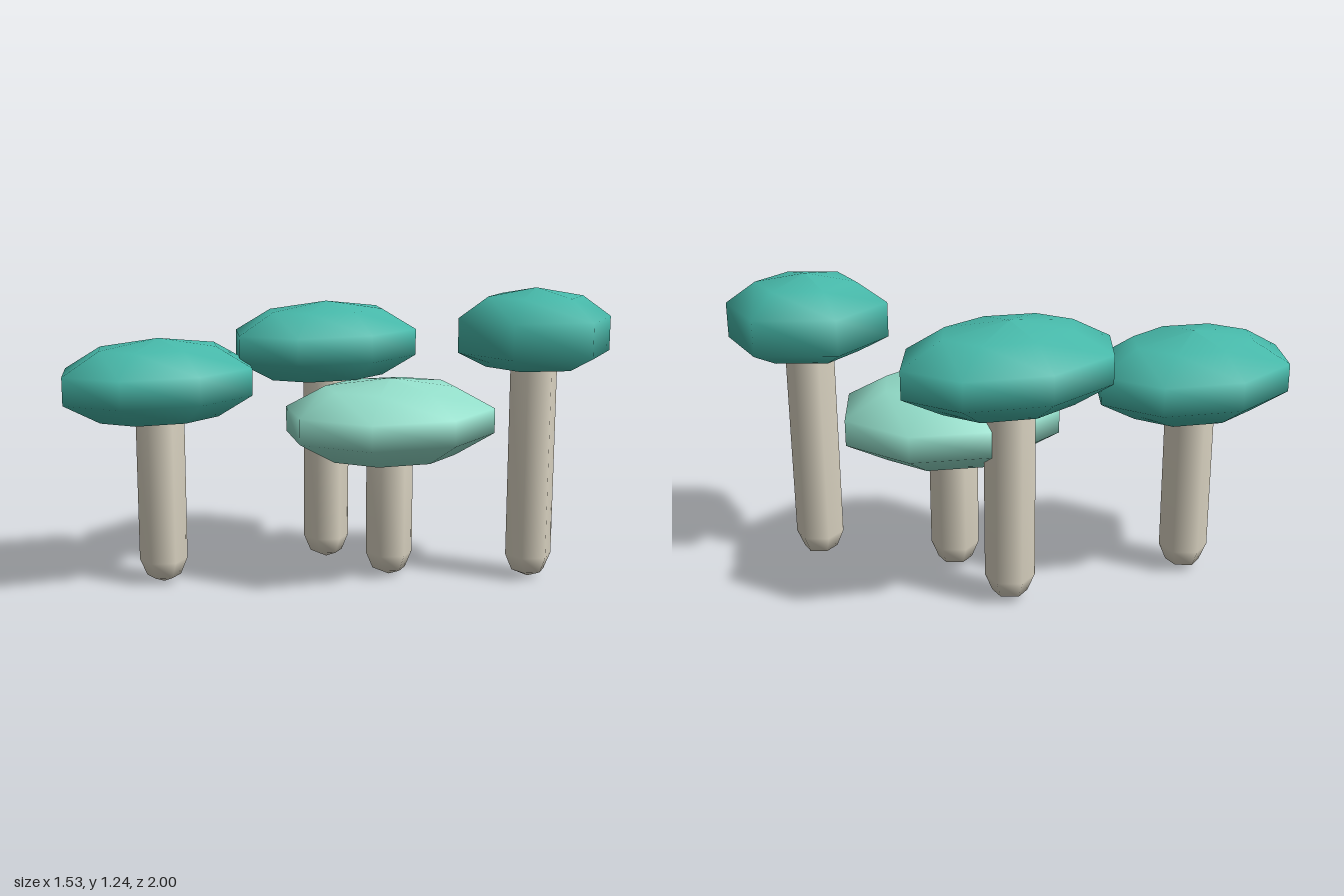
import * as THREE from 'three';

// Lathe a half profile of [radius, y] points listed from the bottom up
function turned(profile, sides, rx, rz) {
  const points = profile.map(([r, y]) => new THREE.Vector2(r, y));
  const geometry = new THREE.LatheGeometry(points, sides, Math.PI / 2);
  geometry.scale(rx, 1, rz);
  return geometry;
}

export function createModel() {
  const model = new THREE.Group();
  const stemMaterial = new THREE.MeshStandardMaterial({ color: 0xded7c5 });
  stemMaterial.name = 'pale stem';
  const teal = new THREE.MeshStandardMaterial({ color: 0x47b9aa });
  teal.name = 'teal cap';
  const mint = new THREE.MeshStandardMaterial({ color: 0x94dfcb });
  mint.name = 'mint cap';

  // levels: bottom pole, lower ring, lower rim, upper rim, upper ring, top pole
  const mushrooms = [
    { name: 'frontMushroom', x: -0.435, z: 0.565, rx: 0.33, rz: 0.432, sides: 8, cap: teal,
      levels: [0.685, 0.71, 0.797, 0.91, 1.0, 1.035] },
    { name: 'middleMushroom', x: -0.315, z: -0.205, rx: 0.327, rz: 0.452, sides: 8, cap: teal,
      levels: [0.805, 0.83, 0.917, 1.03, 1.12, 1.155] },
    { name: 'lowMushroom', x: 0.063, z: -0.258, rx: 0.408, rz: 0.47, sides: 8, cap: mint,
      levels: [0.505, 0.53, 0.625, 0.73, 0.82, 0.855] },
    { name: 'tallMushroom', x: 0.445, z: -0.716, rx: 0.317, rz: 0.328, sides: 6, cap: teal,
      levels: [0.888, 0.91, 0.97, 1.113, 1.2, 1.235] },
  ];
  const capRadii = [0, 0.63, 1, 1, 0.62, 0];

  for (const m of mushrooms) {
    const mushroom = new THREE.Group();
    mushroom.name = m.name;
    mushroom.position.set(m.x, 0, m.z);

    // Oval faceted cap
    const cap = new THREE.Mesh(
      turned(capRadii.map((r, i) => [r, m.levels[i]]), m.sides, m.rx, m.rz), m.cap);
    cap.name = 'cap';

    // Six-sided stem with rounded ends, its top buried in the cap
    const top = (m.levels[2] + m.levels[3]) / 2;
    const stem = new THREE.Mesh(turned([
      [0, 0], [0.707, 0.03], [1, 0.1], [1, top - 0.1], [0.707, top - 0.03], [0, top],
    ], 6, 0.1, 0.1), stemMaterial);
    stem.name = 'stem';

    mushroom.add(stem, cap);
    model.add(mushroom);
  }
  return model;
}
